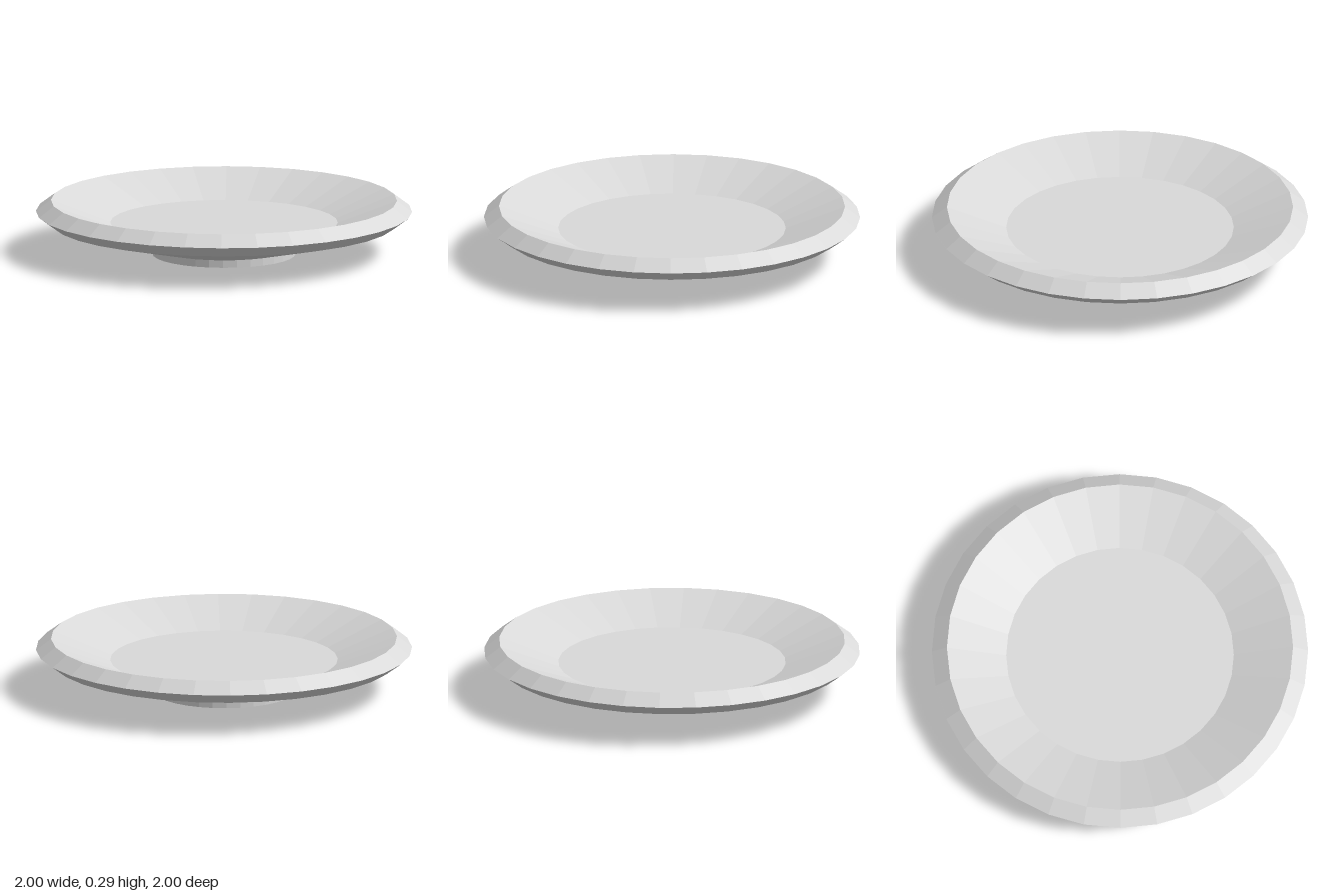
import * as THREE from 'three';

const SEGMENTS = 32;

export function createModel() {
  const group = new THREE.Group();
  group.name = 'plate';
  const glaze = new THREE.MeshStandardMaterial({ color: 0xd9d9d9, flatShading: true });
  glaze.name = 'pale grey glaze';

  // Each part is a faceted turned strip, its profile given as [radius, height]
  const turn = (name, profile) => {
    const points = profile.map(([r, y]) => new THREE.Vector2(r, y));
    const mesh = new THREE.Mesh(new THREE.LatheGeometry(points, SEGMENTS), glaze);
    mesh.name = name;
    group.add(mesh);
  };

  // Recess under the plate, enclosed by the foot ring
  turn('footRecess', [[0, 0.13], [0.32, 0.13], [0.32, 0]]);
  // Foot ring the plate stands on
  turn('footRing', [[0.32, 0], [0.38, 0], [0.38, 0.04]]);
  // Sloping underside
  turn('underside', [[0.38, 0.04], [0.92, 0.17]]);
  // Bevelled rim
  turn('rim', [[0.92, 0.17], [1, 0.23], [0.92, 0.29]]);
  // Sloping inner wall and flat floor
  turn('innerWall', [[0.92, 0.29], [0.605, 0.17]]);
  turn('floor', [[0.605, 0.17], [0, 0.17]]);

  return group;
}
